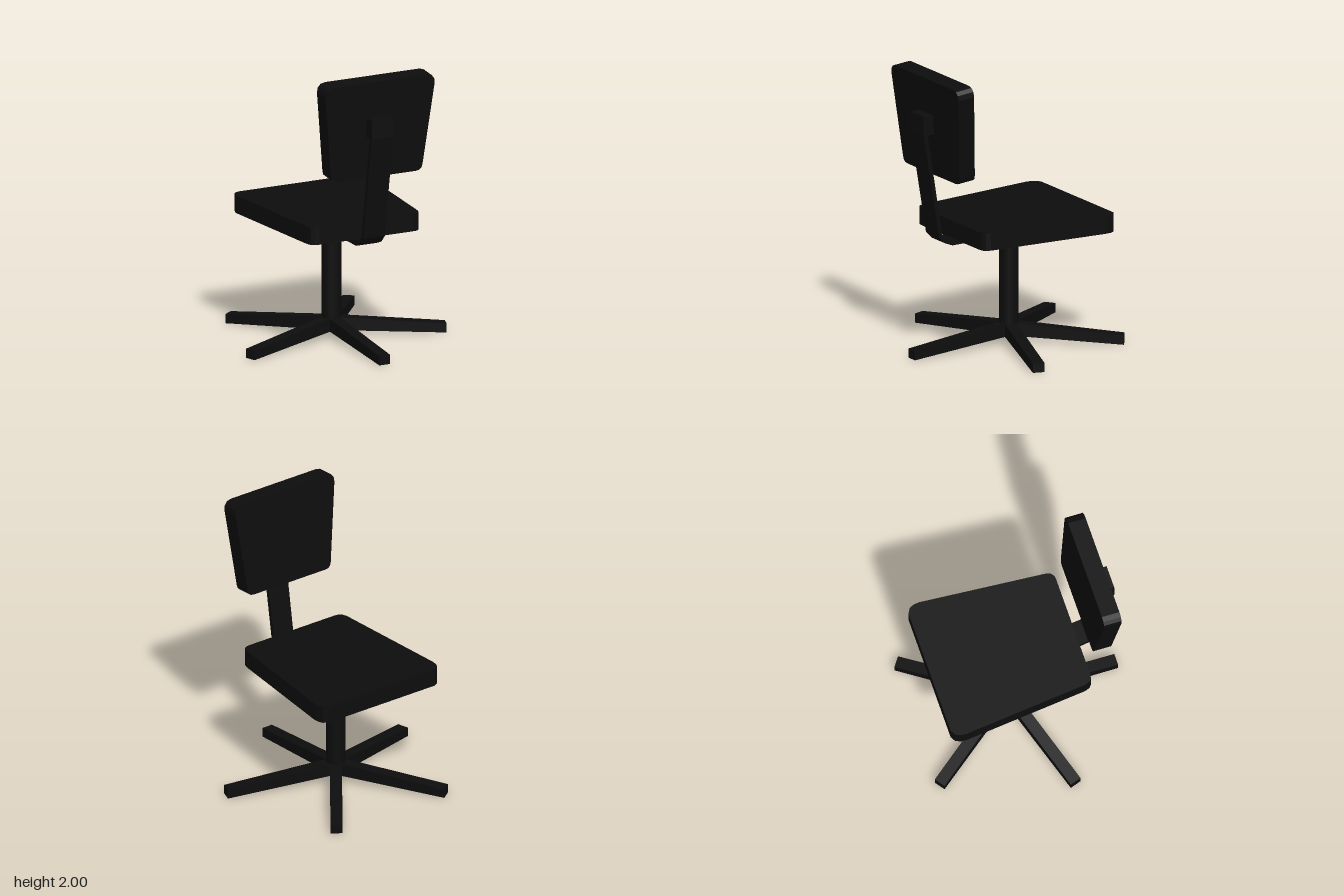
import * as THREE from 'three';

const black = new THREE.MeshStandardMaterial({ color: 0x0d0d0d });
black.name = 'black';

function part(name, geometry, parent) {
  const mesh = new THREE.Mesh(geometry, black);
  mesh.name = name;
  parent.add(mesh);
  return mesh;
}

// Extrudes an outline, centred on its thickness
function slab(points, depth) {
  const shape = new THREE.Shape(points.map(([x, y]) => new THREE.Vector2(x, y)));
  return new THREE.ExtrudeGeometry(shape, { depth, bevelEnabled: false })
    .translate(0, 0, -depth / 2);
}

// Closes a half outline by mirroring it across x = 0
const mirrored = (half) => [...half, ...half.map(([x, y]) => [-x, y]).reverse()];

export function createModel() {
  const chair = new THREE.Group();
  chair.name = 'officeChair';

  const hubZ = -0.065;
  const cushionX = 0.015;

  // Five-legged base: each leg slopes down and gets thinner outwards
  const base = new THREE.Group();
  base.name = 'base';
  base.position.z = hubZ;
  chair.add(base);
  const legLength = 0.79;
  const legGeometry = new THREE.BoxGeometry(0.082, 1, legLength).translate(0, 0.5, legLength / 2);
  const p = legGeometry.attributes.position;
  for (let i = 0; i < p.count; i++) {
    const t = p.getZ(i) / legLength;
    const bottom = THREE.MathUtils.lerp(0.055, 0, t);
    const top = THREE.MathUtils.lerp(0.148, 0.065, t);
    p.setY(i, p.getY(i) > 0.5 ? top : bottom);
  }
  legGeometry.computeVertexNormals();
  for (let k = 0; k < 5; k++) {
    part('leg' + (k + 1), legGeometry, base).rotation.y = (k * Math.PI * 2) / 5;
  }

  // Central column
  const column = part('column', new THREE.CylinderGeometry(0.067, 0.067, 0.73, 12), chair);
  column.position.set(0, 0.425, hubZ);

  // Seat cushion, wider towards the knees
  const seatOutline = mirrored([
    [0.45, -0.615], [0.485, -0.595], [0.502, -0.56], [0.505, -0.52],
    [0.426, 0.365], [0.413, 0.4], [0.392, 0.416], [0.36, 0.42],
  ]);
  const seat = part('seat', slab(seatOutline, 0.125).rotateX(Math.PI / 2), chair);
  seat.position.set(cushionX, 0.8825, 0);

  // Backrest cushion, wider at the top and leaning back
  const backOutline = mirrored([
    [0.36, 0.347], [0.395, 0.339], [0.415, 0.315], [0.42, 0.28],
    [0.352, -0.305], [0.344, -0.33], [0.328, -0.343], [0.3, -0.347],
  ]);
  const back = part('backrest', slab(backOutline, 0.127), chair);
  back.position.set(cushionX, 1.648, 0.539);
  back.rotation.x = THREE.MathUtils.degToRad(4.9);

  // Bent flat bar from under the seat up to the backrest, profile in z and y
  const barProfile = [
    [-0.15, 0.785], [0.45, 0.785], [0.51, 0.81], [0.558, 0.86], [0.685, 1.61],
    [0.653, 1.61], [0.532, 0.87], [0.495, 0.835], [0.425, 0.819], [-0.15, 0.819],
  ];
  const bar = part('backBar', slab(barProfile, 0.165).rotateY(-Math.PI / 2), chair);
  bar.position.x = 0.004;

  // Block joining the bar to the backrest
  const block = part('backBracket', new THREE.BoxGeometry(0.165, 0.137, 0.135), chair);
  block.position.set(0.004, 1.667, 0.6175);

  return chair;
}
